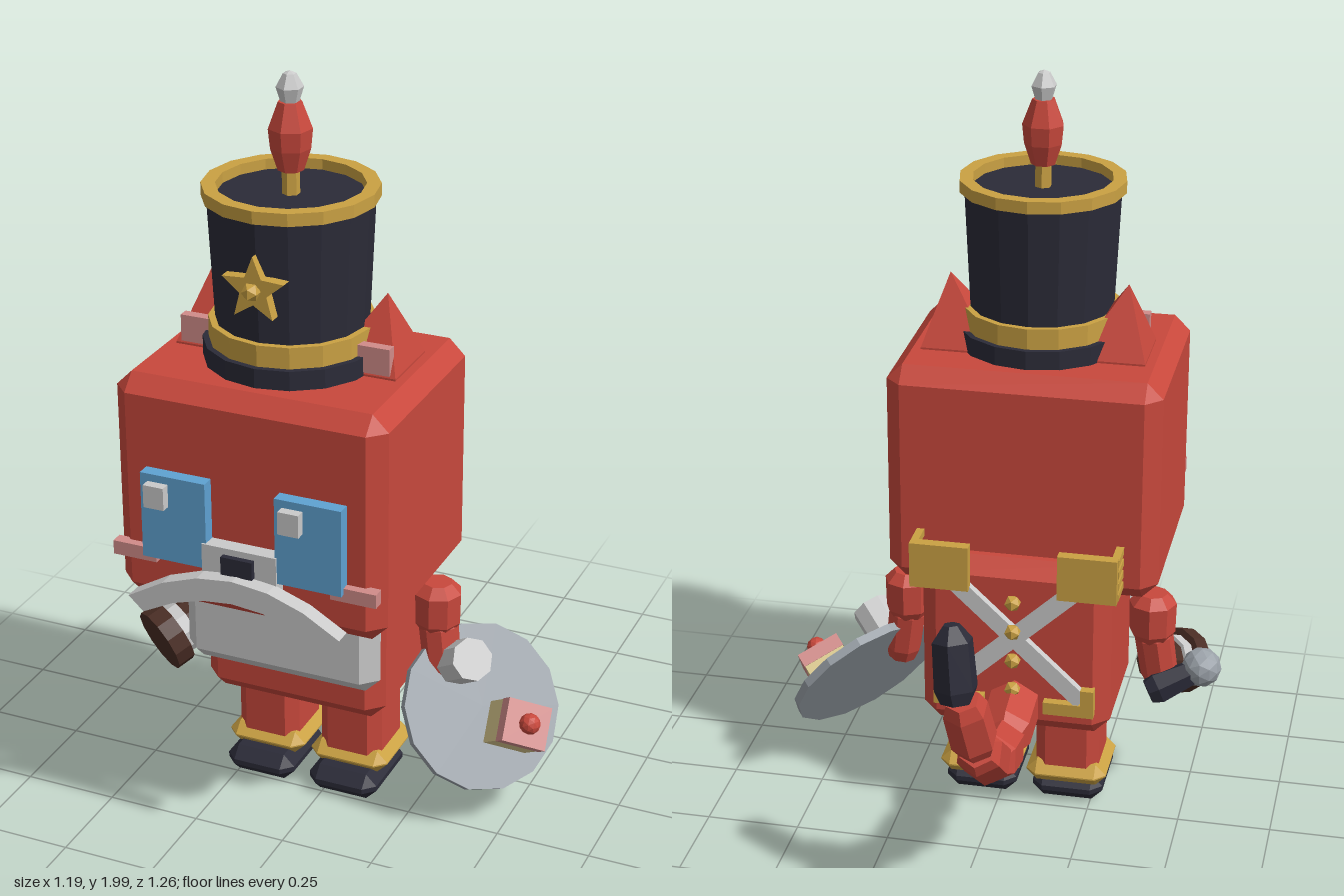
import * as THREE from 'three';
import { ConvexGeometry } from 'three/addons/geometries/ConvexGeometry.js';

const V = (x, y, z) => new THREE.Vector3(x, y, z);
const CX = -0.065; // middle of the figure

export function createModel() {
  const model = new THREE.Group();
  const colours = {
    red: 0xc8483c, navy: 0x2b2b38, gold: 0xcaa143, blue: 0x5fa2d2, white: 0xcacaca,
    steel: 0x9aa1a8, pink: 0xd18c8a, brown: 0x4a2d24, cream: 0xdac88e,
  };
  const mats = {};
  for (const [name, hex] of Object.entries(colours)) {
    mats[name] = new THREE.MeshStandardMaterial({ color: hex });
    mats[name].name = name;
  }

  // Adds a faceted mesh
  function add(name, geo, mat, parent = model) {
    const g = geo.index ? geo.toNonIndexed() : geo;
    g.computeVertexNormals();
    const m = new THREE.Mesh(g, mats[mat]);
    m.name = name;
    parent.add(m);
    return m;
  }

  // Plain box from its limits
  function box(name, mat, x0, x1, y0, y1, z0, z1) {
    const m = add(name, new THREE.BoxGeometry(x1 - x0, y1 - y0, z1 - z0), mat);
    m.position.set((x0 + x1) / 2, (y0 + y1) / 2, (z0 + z1) / 2);
    return m;
  }

  // Box with every edge chamfered by b
  function chamfer(name, mat, x0, x1, y0, y1, z0, z1, b) {
    const h = [(x1 - x0) / 2, (y1 - y0) / 2, (z1 - z0) / 2], pts = [];
    for (const sx of [-1, 1]) for (const sy of [-1, 1]) for (const sz of [-1, 1])
      for (let k = 0; k < 3; k++) {
        const c = h.map((v, i) => (i === k ? v : Math.max(v - b, 0.002)));
        pts.push(V(sx * c[0], sy * c[1], sz * c[2]));
      }
    const m = add(name, new ConvexGeometry(pts), mat);
    m.position.set((x0 + x1) / 2, (y0 + y1) / 2, (z0 + z1) / 2);
    return m;
  }

  function lathe(name, mat, profile, sides, parent) {
    return add(name, new THREE.LatheGeometry(profile.map(p => new THREE.Vector2(...p)), sides), mat, parent);
  }

  // Barrel with tapered ends between two points
  function barrel(name, mat, a, b, r0, r1, sides = 6, end = 0.75) {
    const L = a.distanceTo(b);
    const m = lathe(name, mat, [[0, 0], [r0 * 0.75, 0], [r0, L * 0.18], [r1, L * 0.8], [r1 * end, L], [0, L]], sides);
    m.position.copy(a);
    m.quaternion.setFromUnitVectors(V(0, 1, 0), b.clone().sub(a).normalize());
    return m;
  }

  // Head and body
  chamfer('head', 'red', -0.425, 0.295, 0.67, 1.275, -0.03, 0.545, 0.042);
  chamfer('body', 'red', -0.315, 0.19, 0.285, 0.78, -0.09, 0.305, 0.042);
  chamfer('chestPanel', 'white', -0.335, 0.205, 0.41, 0.74, 0.295, 0.38, 0.04);

  // Face: the glints sit on the same side of both eyes
  for (const x of [-0.33, 0.03]) {
    box('eye', 'blue', x, x + 0.175, 0.815, 1.045, 0.54, 0.58);
    box('eyeGlint', 'white', x + 0.02, x + 0.075, 0.965, 1.025, 0.575, 0.605);
  }
  box('cheek', 'pink', -0.42, -0.3, 0.795, 0.832, 0.535, 0.567);
  box('cheek', 'pink', 0.17, 0.29, 0.795, 0.832, 0.535, 0.567);
  box('muzzle', 'white', -0.165, 0.035, 0.76, 0.885, 0.54, 0.585);
  box('nose', 'navy', -0.107, -0.023, 0.82, 0.868, 0.58, 0.6);
  box('mouth', 'navy', -0.12, -0.01, 0.735, 0.77, 0.54, 0.58);
  for (const s of [-1, 1]) box('lip', 'navy', CX + s * 0.065 - 0.02, CX + s * 0.065 + 0.02, 0.73, 0.755, 0.54, 0.58);

  // Drooping moustache
  const upper = [], lower = [];
  for (let i = -3; i <= 3; i++) {
    const t = i / 3;
    upper.push(new THREE.Vector2(t * 0.285, 0.822 - 0.1 * t * t));
    lower.unshift(new THREE.Vector2(t * 0.245, 0.76 - 0.075 * t * t));
  }
  add('moustache', new THREE.ExtrudeGeometry(new THREE.Shape([...lower, ...upper]),
    { depth: 0.045, bevelEnabled: false }), 'white').position.set(CX, 0, 0.582);

  // Ears, arms, legs and back fittings, mirrored about the middle
  for (const s of [-1, 1]) {
    const X = d => CX + s * d;
    const span = (name, mat, d0, d1, ...rest) =>
      box(name, mat, Math.min(X(d0), X(d1)), Math.max(X(d0), X(d1)), ...rest);
    const ear = [V(X(0.235), 1.46, 0.215)];
    for (const d of [0.11, 0.295]) for (const y of [1.25, 1.28]) for (const z of [0.12, 0.31]) ear.push(V(X(d), y, z));
    add('ear', new ConvexGeometry(ear), 'red');
    span('innerEar', 'pink', 0.16, 0.28, 1.285, 1.355, 0.285, 0.312);

    barrel('shoulder', 'red', V(X(0.335), 0.5, 0.11), V(X(0.335), 0.635, 0.11), 0.062, 0.064, 8, 0.6);
    barrel('arm', 'red', V(X(0.335), 0.54, 0.11), V(X(0.36), 0.36, 0.125), 0.052, 0.05, 8);

    const mid = X(0.12);
    chamfer('leg', 'red', mid - 0.087, mid + 0.087, 0.09, 0.33, 0.02, 0.205, 0.03);
    chamfer('anklet', 'gold', mid - 0.11, mid + 0.11, 0.07, 0.132, 0.0, 0.222, 0.029);
    chamfer('shoe', 'navy', mid - 0.097, mid + 0.097, 0.008, 0.082, 0.025, 0.265, 0.03);

    // Back plate with fringe bars, strap and lower clasp
    span('backPlate', 'gold', 0.117, 0.273, 0.71, 0.835, -0.13, -0.1);
    for (let i = 0; i < 4; i++) {
      const y = 0.712 + i * 0.033;
      span('fringe', 'gold', 0.255, 0.275, y, y + 0.02, -0.11, -0.02);
    }
    const strap = add('crossStrap', new THREE.BoxGeometry(0.045, 0.5, 0.025), 'white');
    strap.position.set(CX, 0.575, -0.1);
    strap.rotation.z = s * 0.82;
    span('clasp', 'gold', 0.08, 0.215, 0.36, 0.395, -0.115, -0.085);
    span('clasp', 'gold', 0.18, 0.215, 0.36, 0.44, -0.115, -0.085);
  }
  for (const y of [0.43, 0.515, 0.6, 0.685])
    add('backStud', new THREE.IcosahedronGeometry(0.023, 0), 'gold').position.set(CX, y, -0.122);

  // Tall hat with a recessed top
  const hat = new THREE.Group();
  hat.name = 'hat';
  hat.position.set(CX, 0, 0.257);
  model.add(hat);
  lathe('hatBase', 'navy', [[0, 1.27], [0.222, 1.27], [0.222, 1.325], [0, 1.325]], 16, hat);
  lathe('hatBand', 'gold', [[0, 1.322], [0.207, 1.322], [0.207, 1.38], [0, 1.38]], 16, hat);
  lathe('hatCrown', 'navy', [[0, 1.375], [0.19, 1.375], [0.205, 1.695], [0, 1.695]], 16, hat);
  lathe('hatRim', 'gold', [[0.182, 1.69], [0.217, 1.69], [0.217, 1.722], [0.182, 1.722], [0.182, 1.69]], 16, hat);
  lathe('plumeStem', 'gold', [[0, 1.69], [0.022, 1.69], [0.022, 1.77], [0, 1.77]], 6, hat);
  lathe('plume', 'red', [[0, 1.755], [0.032, 1.755], [0.05, 1.81], [0.055, 1.86], [0.03, 1.925], [0, 1.925]], 7, hat);
  lathe('plumeTip', 'white', [[0, 1.915], [0.02, 1.915], [0.034, 1.96], [0.016, 1.993], [0, 2]], 6, hat);

  // Star badge
  const star = new THREE.Shape();
  for (let i = 0; i < 10; i++) {
    const a = Math.PI / 2 + i * Math.PI / 5, r = i % 2 ? 0.037 : 0.085;
    star[i ? 'lineTo' : 'moveTo'](r * Math.cos(a), r * Math.sin(a));
  }
  add('starBadge', new THREE.ExtrudeGeometry(star, { depth: 0.03, bevelEnabled: false }), 'gold', hat).position.set(0, 1.525, 0.19);
  add('starStud', new THREE.IcosahedronGeometry(0.024, 0), 'gold', hat).position.set(0, 1.525, 0.23);

  // Jointed tail with a dark tip
  const path = [V(CX, 0.375, -0.04), V(CX, 0.338, -0.235), V(CX, 0.37, -0.4), V(-0.058, 0.485, -0.53), V(-0.035, 0.655, -0.585)];
  for (let i = 0; i < 4; i++) barrel('tailSegment', 'red', path[i], path[i + 1], 0.073 - i * 0.004, 0.071 - i * 0.004);
  barrel('tailTip', 'navy', V(-0.02, 0.645, -0.58), V(0.0, 0.84, -0.55), 0.056, 0.052, 6, 0.4);

  // Group whose z axis points along a direction
  function held(name, pos, dir) {
    const g = new THREE.Group();
    g.name = name;
    g.position.copy(pos);
    g.lookAt(pos.clone().add(dir));
    model.add(g);
    return g;
  }
  function disc(name, mat, g, r, z0, z1, sides, x = 0, y = 0) {
    const m = add(name, new THREE.CylinderGeometry(r, r, z1 - z0, sides).rotateX(Math.PI / 2), mat, g);
    m.position.set(x, y, (z0 + z1) / 2);
  }

  // Plate with a cup and a slice of cake
  const plate = held('plateGroup', V(0.4, 0.3, 0.125), V(0.63, 0.54, 0.54));
  disc('plate', 'steel', plate, 0.22, -0.012, 0.012, 14);
  disc('cup', 'white', plate, 0.057, 0, 0.12, 8, -0.045, 0.125);
  const cake = new THREE.Group();
  cake.name = 'cake';
  cake.position.set(0.055, -0.07, 0);
  cake.rotation.z = -0.47;
  plate.add(cake);
  add('sponge', new THREE.BoxGeometry(0.12, 0.11, 0.09), 'cream', cake).position.z = 0.05;
  add('icing', new THREE.BoxGeometry(0.123, 0.113, 0.04), 'pink', cake).position.z = 0.112;
  add('cherry', new THREE.IcosahedronGeometry(0.028, 1), 'red', cake).position.z = 0.147;

  // Mug and ball-ended baton in the right hand
  const mug = held('mug', V(-0.455, 0.375, 0.225), V(-0.5, -0.35, 0.75));
  disc('mugTop', 'brown', mug, 0.09, -0.015, 0.035, 12);
  disc('mugRing', 'white', mug, 0.072, -0.05, -0.015, 10);
  disc('mugBody', 'brown', mug, 0.062, -0.1, -0.05, 10);
  barrel('baton', 'navy', V(-0.4, 0.36, 0.06), V(-0.53, 0.415, 0.115), 0.045, 0.035);
  add('batonBall', new THREE.IcosahedronGeometry(0.054, 1), 'steel').position.set(-0.535, 0.42, 0.118);

  return model;
}
